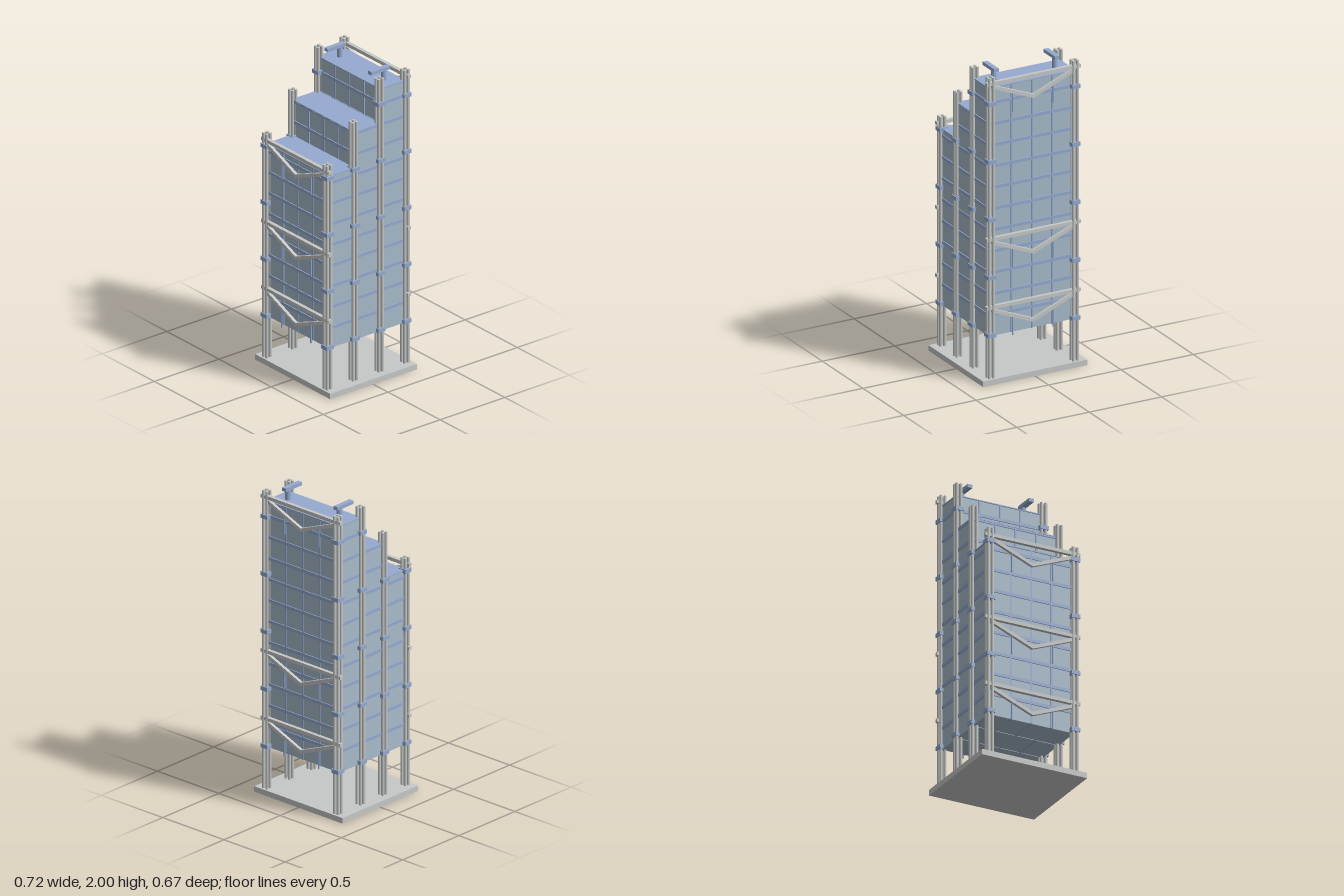
import * as THREE from 'three';

const grey = new THREE.MeshStandardMaterial({ color: 0xc6c9c7 });
grey.name = 'steelGrey';
const blue = new THREE.MeshStandardMaterial({ color: 0x96abd0 });
blue.name = 'panelBlue';
const glass = new THREE.MeshStandardMaterial({ color: 0xa8bbcb });
glass.name = 'glassBlueGrey';

export function createModel() {
  const model = new THREE.Group();
  model.name = 'steppedTower';

  const add = (name, geometry, material, x, y, z, parent = model) => {
    const mesh = new THREE.Mesh(geometry, material);
    mesh.name = name;
    mesh.position.set(x, y, z);
    parent.add(mesh);
    return mesh;
  };
  // Box given by its limits on each axis
  const box = (name, material, [x0, x1], [y0, y1], [z0, z1], parent) =>
    add(name, new THREE.BoxGeometry(x1 - x0, y1 - y0, z1 - z0), material,
      (x0 + x1) / 2, (y0 + y1) / 2, (z0 + z1) / 2, parent);

  // Ground slab
  box('baseSlab', grey, [-0.36, 0.36], [0, 0.036], [-0.337, 0.334]);

  // Three stepped blocks, each with glass, floor bands, mullions and a roof
  const bottom = 0.3, floorStep = 0.1377;
  const blocks = [
    { name: 'backBlock', z: [-0.298, -0.101], top: 1.915 },
    { name: 'middleBlock', z: [-0.101, 0.098], top: 1.685 },
    { name: 'frontBlock', z: [0.098, 0.295], top: 1.45 },
  ];
  for (const { name, z: [z0, z1], top } of blocks) {
    const block = new THREE.Group();
    block.name = name;
    model.add(block);
    const inset = 0.006;
    const gz = [name === 'backBlock' ? z0 + inset : z0, z1 - inset];
    box('glassWalls', glass, [-0.294, 0.294], [bottom, top - 0.006], gz, block);
    box('roof', blue, [-0.3, 0.3], [top - 0.006, top], [z0, z1], block);
    for (let y = bottom + floorStep; y < top - 0.005; y += floorStep) {
      box('floorBand', blue, [-0.3, 0.3], [y - 0.01, Math.min(y + 0.01, top - 0.007)], [z0, z1], block);
    }
    for (const x of [-0.14, 0, 0.14]) {
      box('mullion', blue, [x - 0.005, x + 0.005], [bottom, top - 0.006],
        [name === 'backBlock' ? z0 + 0.001 : z0 + inset, z1 - 0.001], block);
    }
  }

  // Clustered columns of four tubes, held by collars
  const rows = [
    { z: -0.301, top: 1.985 }, { z: -0.101, top: 1.985 },
    { z: 0.098, top: 1.755 }, { z: 0.298, top: 1.525 },
  ];
  for (const { z, top } of rows) {
    const tube = new THREE.CylinderGeometry(0.01, 0.01, top - 0.036, 16);
    for (const side of [-1, 1]) {
      const column = new THREE.Group();
      column.name = side > 0 ? 'leftColumn' : 'rightColumn';
      column.position.set(side * 0.29, 0, z);
      model.add(column);
      for (const dx of [-0.014, 0.014]) {
        for (const dz of [-0.0135, 0.0135]) {
          add('columnTube', tube, grey, dx, (top + 0.036) / 2, dz, column);
        }
      }
      for (let y = 0.315; y < top - 0.05; y += 0.3757) {
        add('collar', new THREE.BoxGeometry(0.056, 0.026, 0.056), blue, 0, y, 0, column);
      }
    }
  }

  // Suspension trusses: a top bar, a V beneath it and two hangers
  const addTruss = (y, z) => {
    const truss = new THREE.Group();
    truss.name = z > 0 ? 'frontTruss' : 'backTruss';
    truss.position.set(0, y, z);
    model.add(truss);
    add('topBar', new THREE.BoxGeometry(0.65, 0.022, 0.024), grey, 0, 0, 0, truss);
    const v = new THREE.Shape([
      [-0.285, -0.008], [0, -0.123], [0.285, -0.008], [0.285, -0.032], [0, -0.147], [-0.285, -0.032],
    ].map(([px, py]) => new THREE.Vector2(px, py)));
    const vGeometry = new THREE.ExtrudeGeometry(v, { depth: 0.02, bevelEnabled: false });
    add('diagonals', vGeometry, grey, 0, 0, -0.01, truss);
    const hanger = new THREE.CylinderGeometry(0.005, 0.005, 0.125, 10);
    for (const x of [-0.14, 0.14]) add('hanger', hanger, blue, x, -0.145, 0, truss);
  };
  for (const y of [1.481, 0.935, 0.493]) addTruss(y, 0.305);
  for (const y of [1.945, 0.935, 0.493]) addTruss(y, -0.308);

  // Roof cranes
  for (const x of [-0.21, 0.21]) {
    add('cranePost', new THREE.CylinderGeometry(0.017, 0.017, 0.07, 16), blue, x, 1.948, -0.2);
    box('craneArm', blue, [x - 0.016, x + 0.016], [1.978, 2], [-0.235, -0.093]);
  }

  return model;
}
